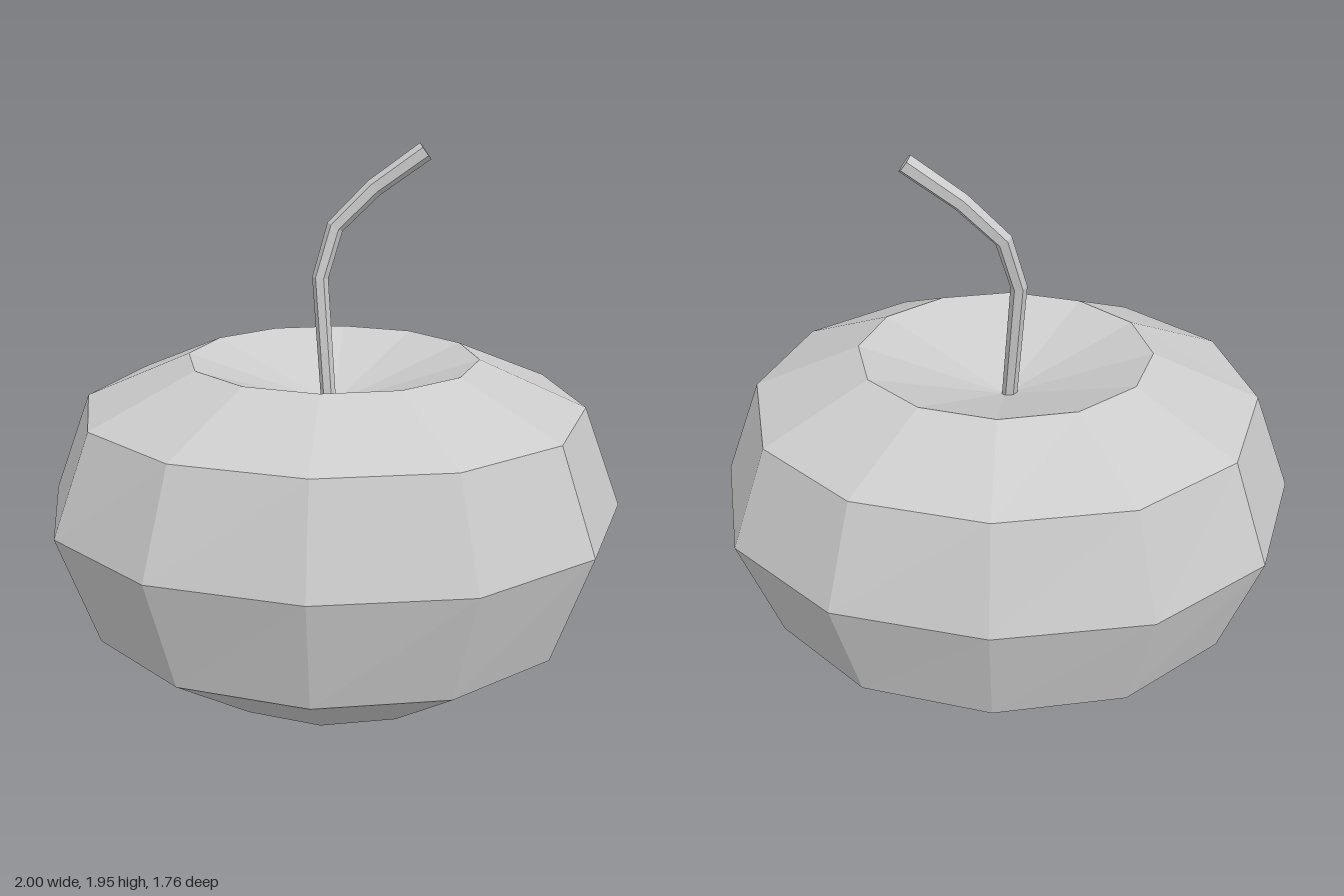
import * as THREE from 'three';

const SIDES = 12;
const STEM_SIDES = 6;

// Joins rings of equal point count, capping both ends with fans.
// Rings run counter-clockwise seen from the end of the stack.
function loft(rings, startPoint, endPoint) {
  const n = rings[0].length;
  const points = [...rings.flat(), startPoint, endPoint];
  const start = rings.length * n, end = start + 1;
  const last = (rings.length - 1) * n;
  const index = [];
  for (let i = 0; i < n; i++) {
    const j = (i + 1) % n;
    for (let r = 0; r < rings.length - 1; r++) {
      const a = r * n, b = a + n;
      index.push(a + i, a + j, b + j, a + i, b + j, b + i);
    }
    index.push(start, j, i, end, last + i, last + j);
  }
  const geometry = new THREE.BufferGeometry().setFromPoints(points);
  geometry.setIndex(index);
  geometry.computeVertexNormals();
  return geometry;
}

// Squat body: radius, height, depth factor, extra flattening front and back
function fruitGeometry() {
  const profile = [
    [0.5, 0.085, 0.955, 0.01],
    [0.866, 0.335, 0.975, 0.07],
    [1, 0.73, 0.982, 0.1],
    [0.866, 1.08, 0.975, 0.078],
    [0.5, 1.24, 0.925, 0.01],
  ];
  const rings = profile.map(([radius, y, depth, flatten]) =>
    Array.from({ length: SIDES }, (_, i) => {
      const angle = (i / SIDES) * Math.PI * 2;
      const c = Math.cos(angle);
      const z = radius * c * (depth - flatten * c * c);
      return new THREE.Vector3(radius * Math.sin(angle), y, z);
    }));
  // the last point is the bottom of the dimple
  return loft(rings, new THREE.Vector3(0, 0.003, 0), new THREE.Vector3(0, 1.07, 0));
}

// Bent stem: hexagonal sections square to the path, slightly thicker at the tip
function stemGeometry() {
  const path = [
    [-0.015, 1.06, -0.012],
    [-0.048, 1.5, -0.055],
    [0, 1.67, -0.08],
    [0.13, 1.8, -0.095],
    [0.3, 1.922, -0.1],
  ].map((p) => new THREE.Vector3(...p));
  const zAxis = new THREE.Vector3(0, 0, 1);
  const rings = path.map((p, k) => {
    const before = p.clone().sub(path[Math.max(k - 1, 0)]).normalize();
    const after = path[Math.min(k + 1, path.length - 1)].clone().sub(p).normalize();
    const tangent = before.add(after).normalize();
    const u = zAxis.clone().cross(tangent).normalize();
    const v = tangent.clone().cross(u);
    const radius = 0.026 + 0.007 * (k / (path.length - 1));
    return Array.from({ length: STEM_SIDES }, (_, i) => {
      const angle = (i / STEM_SIDES) * Math.PI * 2;
      return p.clone()
        .addScaledVector(u, radius * Math.cos(angle))
        .addScaledVector(v, radius * Math.sin(angle));
    });
  });
  return loft(rings, path[0], path[path.length - 1]);
}

export function createModel() {
  const material = new THREE.MeshStandardMaterial({ color: 0xcccccc, flatShading: true });
  const group = new THREE.Group();
  group.name = 'fruitWithStem';

  const fruit = new THREE.Mesh(fruitGeometry(), material);
  fruit.name = 'fruitBody';

  const stem = new THREE.Mesh(stemGeometry(), material);
  stem.name = 'stem';

  group.add(fruit, stem);
  return group;
}
